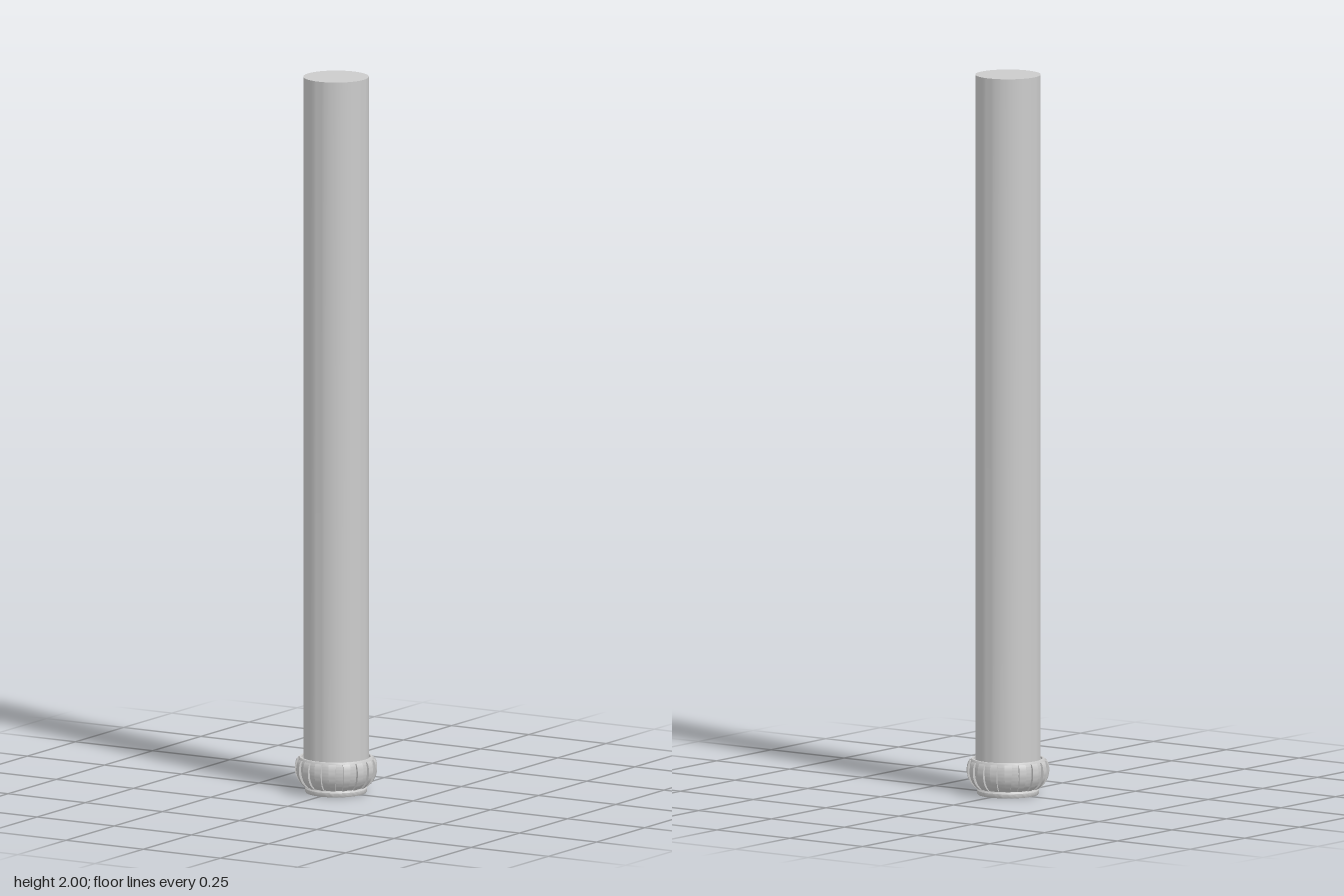
import * as THREE from 'three';
import { toCreasedNormals } from 'three/addons/utils/BufferGeometryUtils.js';

const RIBS = 17;
const material = new THREE.MeshStandardMaterial({ color: 0xcccccc });

function addMesh(parent, name, geometry) {
  const mesh = new THREE.Mesh(geometry, material);
  mesh.name = name;
  parent.add(mesh);
  return mesh;
}

function lathe(points) {
  return toCreasedNormals(new THREE.LatheGeometry(points, 64), 0.6);
}

const v = (r, y) => new THREE.Vector2(r, y);

export function createModel() {
  const model = new THREE.Group();
  model.name = 'column';

  // Plain round shaft
  const shaft = addMesh(model, 'shaft',
    toCreasedNormals(new THREE.CylinderGeometry(0.09, 0.09, 1.92, 64), 0.6));
  shaft.position.y = 1.04;

  // Foot disc with a narrow neck above it
  addMesh(model, 'foot', lathe([
    v(0, 0), v(0.083, 0), v(0.085, 0.003), v(0.085, 0.012),
    v(0.082, 0.015), v(0.08, 0.022), v(0, 0.022),
  ]));

  // Swelling bowl that carries the ribs
  const bowlCurve = new THREE.SplineCurve([
    v(0.083, 0.018), v(0.096, 0.032), v(0.104, 0.05),
    v(0.107, 0.068), v(0.106, 0.085), v(0.103, 0.095),
  ]);
  const bowl = bowlCurve.getPoints(18);
  addMesh(model, 'bowl', lathe([
    v(0.07, 0.018), ...bowl, v(0.1, 0.1), v(0.095, 0.1), v(0.094, 0.094), v(0.085, 0.094),
  ]));

  // Raised ribs: a curved band following the bowl, thickest at its belly
  const steps = 14;
  const outer = [], inner = [];
  for (let i = 0; i <= steps; i++) {
    const t = 0.04 + 0.94 * i / steps;
    const p = bowlCurve.getPoint(t);
    const d = bowlCurve.getTangent(t);
    const h = 0.003 + 0.0035 * Math.sin(Math.PI * i / steps);
    outer.push(v(p.x + d.y * h, p.y - d.x * h));
    inner.unshift(v(p.x - d.y * 0.004, p.y + d.x * 0.004));
  }
  const ribGeometry = new THREE.ExtrudeGeometry(new THREE.Shape([...outer, ...inner]),
    { depth: 0.02, steps: 1, bevelEnabled: false });
  ribGeometry.translate(0, 0, -0.01);

  // Narrow the ribs towards the foot
  const pos = ribGeometry.attributes.position;
  for (let i = 0; i < pos.count; i++) {
    const k = THREE.MathUtils.smoothstep(pos.getY(i), 0.015, 0.07);
    pos.setZ(i, pos.getZ(i) * (0.65 + 0.35 * k));
  }
  const rib = toCreasedNormals(ribGeometry, 0.6);

  const ribs = new THREE.Group();
  ribs.name = 'ribs';
  for (let i = 0; i < RIBS; i++) {
    addMesh(ribs, 'rib', rib).rotation.y = i * 2 * Math.PI / RIBS;
  }
  model.add(ribs);
  return model;
}
